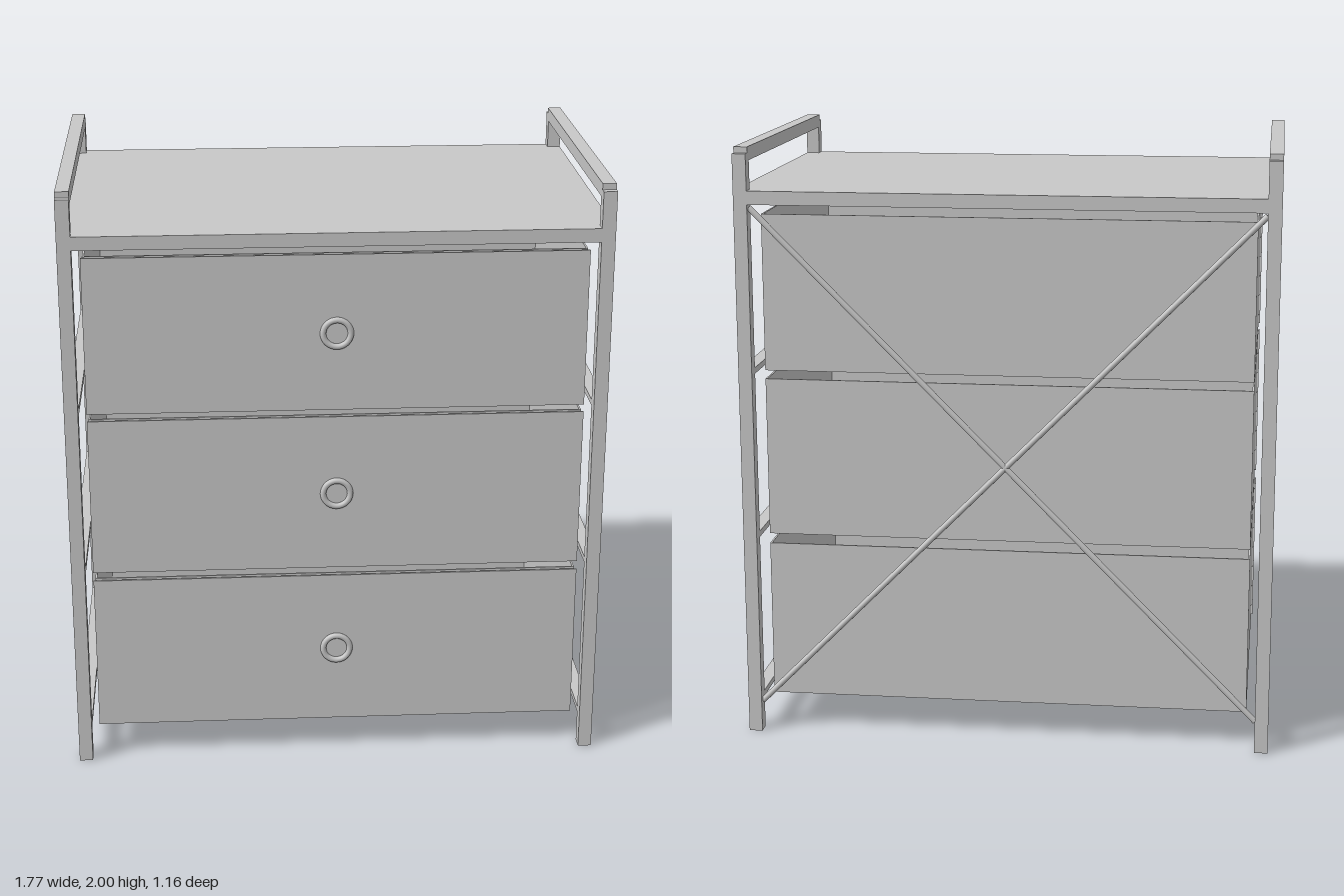
import * as THREE from 'three';

export function createModel() {
  const root = new THREE.Group();
  root.name = 'drawerUnit';
  const grey = new THREE.MeshStandardMaterial({ color: 0xc8c8c8 });
  grey.name = 'light grey';

  // box given by its extents on each axis
  function box(name, [x0, x1], [y0, y1], [z0, z1], parent = root) {
    const mesh = new THREE.Mesh(new THREE.BoxGeometry(x1 - x0, y1 - y0, z1 - z0), grey);
    mesh.position.set((x0 + x1) / 2, (y0 + y1) / 2, (z0 + z1) / 2);
    mesh.name = name;
    parent.add(mesh);
    return mesh;
  }

  const levels = [[0.115, 0.655], [0.685, 1.225], [1.25, 1.777]];

  // side frames: posts, handle bar, top rail and drawer rails
  for (const s of [-1, 1]) {
    const frame = new THREE.Group();
    frame.name = s > 0 ? 'leftFrame' : 'rightFrame';
    root.add(frame);
    const xs = s > 0 ? [0.84, 0.885] : [-0.885, -0.84];
    box('frontPost', xs, [0, 1.98], [0.535, 0.58], frame);
    box('backPost', xs, [0, 1.98], [-0.58, -0.535], frame);
    box('handleBar', xs, [1.955, 2], [-0.555, 0.555], frame);
    box('topRail', xs, [1.815, 1.86], [-0.535, 0.535], frame);
    for (const [y0] of levels) box('drawerRail', xs, [y0 - 0.004, y0 + 0.016], [-0.535, 0.535], frame);
  }

  // table top between the frames
  box('topPanel', [-0.84, 0.84], [1.815, 1.86], [-0.58, 0.58]);

  // open-topped drawers with a thin front and a ring pull
  const t = 0.006;
  const ringGeometry = new THREE.TorusGeometry(0.045, 0.01, 12, 40);
  levels.forEach(([y0, y1], i) => {
    const drawer = new THREE.Group();
    drawer.name = 'drawer' + (i + 1);
    root.add(drawer);
    const w = 0.81, d = 0.515, b = y0 + 0.004;
    box('drawerFloor', [-w, w], [b, b + t], [-d, d], drawer);
    box('drawerBack', [-w, w], [b, y1], [-d, -d + t], drawer);
    box('drawerInnerFront', [-w, w], [b, y1], [d - t, d], drawer);
    box('drawerLeftSide', [w - t, w], [b, y1], [-d, d], drawer);
    box('drawerRightSide', [-w, -w + t], [b, y1], [-d, d], drawer);
    box('drawerFront', [-0.815, 0.815], [y0, y1], [0.53, 0.536], drawer);
    const ring = new THREE.Mesh(ringGeometry, grey);
    ring.position.set(0, (y0 + y1) / 2, 0.54);
    ring.name = 'ringPull';
    drawer.add(ring);
  });

  // crossed rods at the back
  const rodLength = Math.hypot(1.68, 1.7);
  for (const s of [-1, 1]) {
    const rod = new THREE.Mesh(new THREE.CylinderGeometry(0.01, 0.01, rodLength, 12), grey);
    rod.position.set(0, 0.953, -0.555);
    rod.rotation.z = s * Math.atan2(1.68, 1.7);
    rod.name = 'crossRod';
    root.add(rod);
  }
  return root;
}
